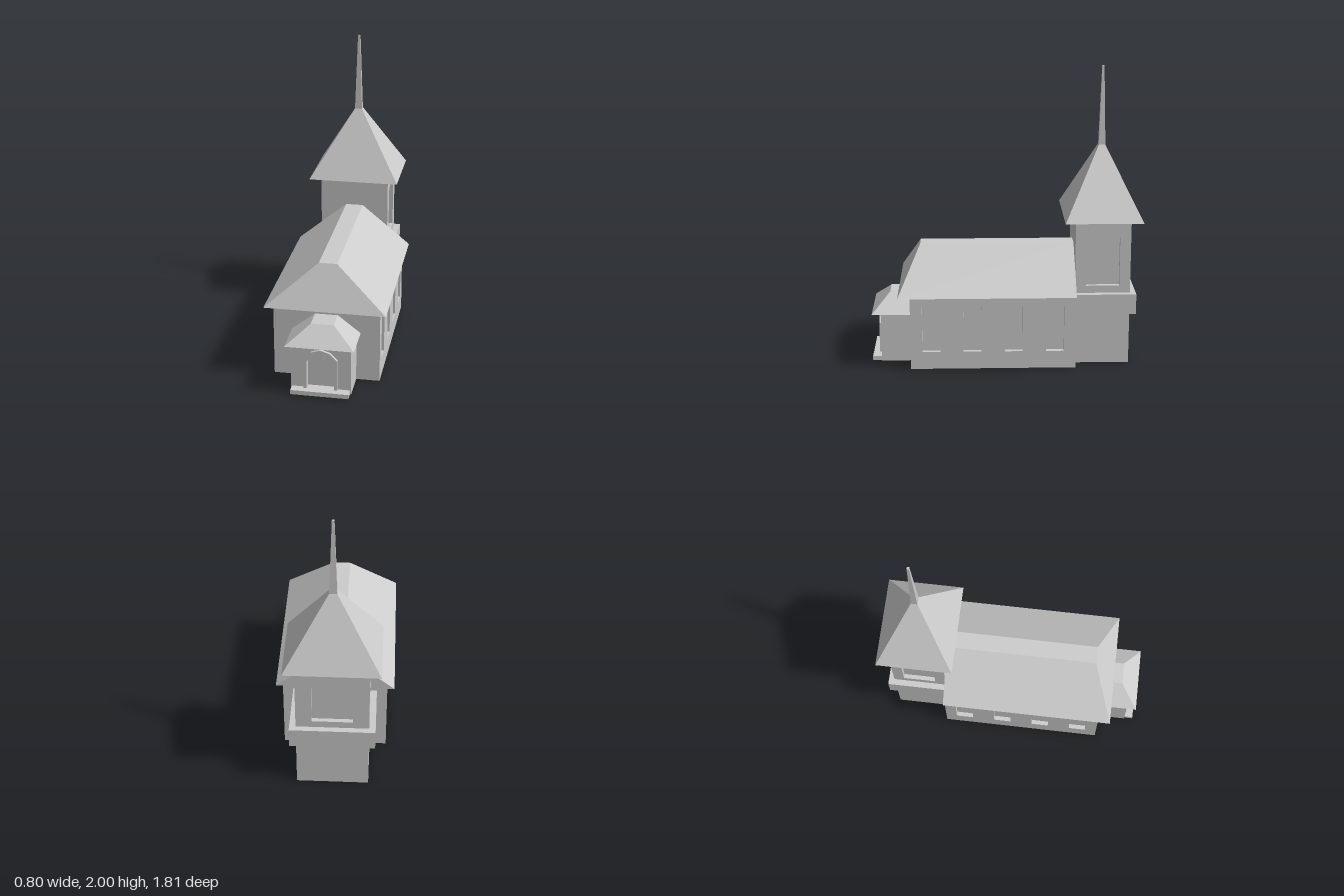
import * as THREE from 'three';
import { mergeGeometries } from 'three/addons/utils/BufferGeometryUtils.js';

const solid = new THREE.MeshStandardMaterial({ color: 0xcccccc, flatShading: true });
const shell = new THREE.MeshStandardMaterial({ color: 0xcccccc, flatShading: true, side: THREE.DoubleSide });

function add(parent, name, geometry, material = solid) {
  const mesh = new THREE.Mesh(geometry, material);
  mesh.name = name;
  parent.add(mesh);
  return mesh;
}

function group(parent, name) {
  const g = new THREE.Group();
  g.name = name;
  parent.add(g);
  return g;
}

const points = (list) => list.map(([x, y]) => new THREE.Vector2(x, y));

// Box between two corners
function block(x, y0, y1, z0, z1) {
  return new THREE.BoxGeometry(2 * x, y1 - y0, z1 - z0).translate(0, (y0 + y1) / 2, (z0 + z1) / 2);
}

// Tapered block: bottom and top rectangles given as [halfX, zBack, zFront, y]
function taper(bottom, top) {
  const geo = new THREE.BoxGeometry(2, 1, 1);
  const p = geo.attributes.position;
  for (let i = 0; i < p.count; i++) {
    const [hx, zb, zf, y] = p.getY(i) > 0 ? top : bottom;
    p.setXYZ(i, p.getX(i) * hx, y, p.getZ(i) > 0 ? zf : zb);
  }
  const flat = geo.toNonIndexed();
  flat.computeVertexNormals();
  return flat;
}

// Window outline with a clipped arch, centred on cx
function windowOutline(cx, half, sill, shoulder, top, flatHalf) {
  return points([
    [cx - half, sill], [cx + half, sill], [cx + half, shoulder],
    [cx + flatHalf, top], [cx - flatHalf, top], [cx - half, shoulder],
  ]);
}

// Door outline with a five-point arch
function doorOutline(half, sill, spring, haunch, top) {
  return points([
    [-half, sill], [half, sill], [half, spring], [half * 0.58, haunch],
    [0, top], [-half * 0.58, haunch], [-half, spring],
  ]);
}

// Wall facing +z, with recessed openings: face, reveals and panes
function wall(halfWidth, y0, y1, openings = [], depth = 0.03) {
  const face = new THREE.Shape(points([[-halfWidth, y0], [halfWidth, y0], [halfWidth, y1], [-halfWidth, y1]]));
  const parts = [];
  for (const outline of openings) {
    face.holes.push(new THREE.Path(outline));
    parts.push(new THREE.ShapeGeometry(new THREE.Shape(outline)).translate(0, 0, -depth));
    outline.forEach((a, i) => {
      const b = outline[(i + 1) % outline.length];
      const reveal = new THREE.PlaneGeometry(a.distanceTo(b), depth);
      reveal.rotateX(-Math.PI / 2);
      reveal.rotateZ(Math.atan2(b.y - a.y, b.x - a.x));
      reveal.translate((a.x + b.x) / 2, (a.y + b.y) / 2, -depth / 2);
      parts.push(reveal);
    });
  }
  parts.push(new THREE.ShapeGeometry(face));
  return mergeGeometries(parts);
}

// Put a wall on one side of a building; angle 0 faces +z
function place(parent, name, geo, angle, distance, centreZ) {
  const mesh = add(parent, name, geo.translate(0, 0, distance), shell);
  mesh.rotation.y = angle;
  mesh.position.z = centreZ;
}

export function createModel() {
  const church = new THREE.Group();
  church.name = 'church';

  // Nave: hollow walls with four windows on each side
  const nave = group(church, 'nave');
  const naveBack = -0.463, naveFront = 0.642;
  const naveMid = (naveBack + naveFront) / 2, naveHalf = (naveFront - naveBack) / 2;
  for (const side of [1, -1]) {
    const windows = [0.503, 0.228, -0.048, -0.325].map((z) =>
      windowOutline(-side * (z - naveMid), 0.06, 0.13, 0.445, 0.48, 0.028));
    place(nave, side > 0 ? 'leftNaveWall' : 'rightNaveWall',
      wall(naveHalf, 0.01, 0.52, windows), side * Math.PI / 2, 0.352, naveMid);
  }
  place(nave, 'frontNaveWall', wall(0.352, 0.01, 0.52), 0, naveHalf, naveMid);
  place(nave, 'backNaveWall', wall(0.352, 0.01, 0.52), Math.PI, naveHalf, naveMid);
  add(nave, 'naveRoof', taper([0.4, naveBack, 0.722, 0.52], [0.06, naveBack, 0.578, 0.8]));

  // Porch with a recessed arched door
  const porch = group(church, 'porch');
  const porchFront = 0.847;
  const porchMid = (porchFront + naveFront) / 2, porchHalf = (porchFront - naveFront) / 2;
  for (const side of [1, -1]) {
    place(porch, side > 0 ? 'leftPorchWall' : 'rightPorchWall',
      wall(porchHalf, 0.01, 0.35), side * Math.PI / 2, 0.197, porchMid);
  }
  const doorway = doorOutline(0.09, 0.04, 0.235, 0.275, 0.29);
  place(porch, 'frontPorchWall', wall(0.197, 0.01, 0.35, [doorway]), 0, porchHalf, porchMid);
  add(porch, 'porchRoof', taper([0.225, naveFront, 0.907, 0.35], [0.075, naveFront, 0.787, 0.467]));
  add(porch, 'doorstep', block(0.19, 0.01, 0.04, porchFront, 0.907));

  // Raised surround following the door arch
  const surround = new THREE.Shape(points([
    [-0.11, 0.04], [-0.09, 0.04], [-0.09, 0.235], [-0.052, 0.275], [0, 0.29],
    [0.052, 0.275], [0.09, 0.235], [0.09, 0.04], [0.11, 0.04], [0.11, 0.25],
    [0.062, 0.3], [0, 0.32], [-0.062, 0.3], [-0.11, 0.25],
  ]));
  add(porch, 'doorSurround',
    new THREE.ExtrudeGeometry(surround, { depth: 0.018, bevelEnabled: false }).translate(0, 0, porchFront));

  // Tower: belfry openings on the back and both sides
  const tower = group(church, 'tower');
  const towerZ = -0.648, halfX = 0.24, halfZ = 0.185;
  for (const side of [1, -1]) {
    const opening = windowOutline(0, 0.112, 0.55, 0.885, 0.94, 0.036);
    place(tower, side > 0 ? 'leftTowerWall' : 'rightTowerWall',
      wall(halfZ, 0, 1, [opening]), side * Math.PI / 2, halfX, towerZ);
  }
  const backOpening = windowOutline(0, 0.135, 0.55, 0.885, 0.94, 0.045);
  place(tower, 'backTowerWall', wall(halfX, 0, 1, [backOpening]), Math.PI, halfZ, towerZ);
  place(tower, 'frontTowerWall', wall(halfX, 0, 1), 0, halfZ, towerZ);
  const floor = add(tower, 'towerFloor', new THREE.PlaneGeometry(2 * halfX, 2 * halfZ), shell);
  floor.rotation.x = Math.PI / 2;
  floor.position.z = towerZ;
  add(tower, 'towerBand', block(0.282, 0.36, 0.5, -0.872, naveBack));

  // Pyramid roof and spire
  const square = (hx, hz, y) => [hx, towerZ - hz, towerZ + hz, y];
  add(tower, 'towerRoof', taper(square(0.314, 0.259, 1), square(0.025, 0.022, 1.47)));
  add(tower, 'spire', taper(square(0.025, 0.022, 1.47), square(0.008, 0.007, 2)));

  return church;
}
